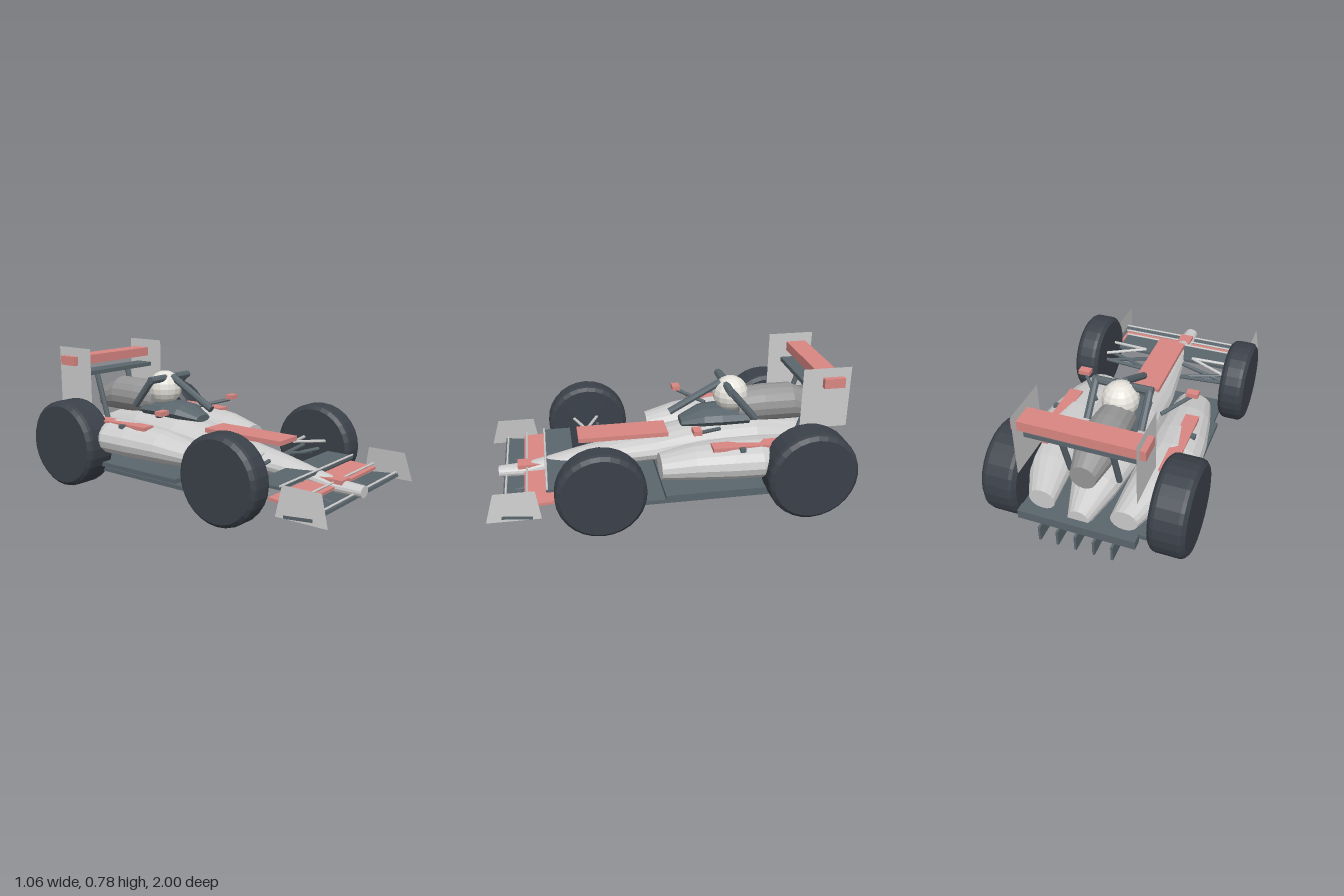
import * as THREE from 'three';

const mat = (color) => new THREE.MeshStandardMaterial({ color, flatShading: true, side: THREE.DoubleSide });

// Closed faceted body through elliptical rings [z, cx, cy, rx, ry], listed front to back
function loft(rings, sides = 16) {
  const pos = [], idx = [];
  rings.forEach(([z, cx, cy, rx, ry]) => {
    for (let j = 0; j < sides; j++) {
      const a = (j / sides) * Math.PI * 2;
      pos.push(cx + Math.cos(a) * rx, cy + Math.sin(a) * ry, z);
    }
  });
  const last = rings.length - 1, front = rings.length * sides, back = front + 1;
  for (const [z, cx, cy] of [rings[0], rings[last]]) pos.push(cx, cy, z);
  for (let j = 0; j < sides; j++) {
    const k = (j + 1) % sides;
    for (let i = 0; i < last; i++) {
      const a = i * sides + j, b = i * sides + k, c = a + sides, d = b + sides;
      idx.push(a, c, b, b, c, d);
    }
    idx.push(front, j, k, back, last * sides + k, last * sides + j);
  }
  const g = new THREE.BufferGeometry();
  g.setAttribute('position', new THREE.Float32BufferAttribute(pos, 3));
  g.setIndex(idx);
  g.computeVertexNormals();
  return g;
}

// Flat quad from four corners
function quad(...corners) {
  const g = new THREE.BufferGeometry();
  g.setAttribute('position', new THREE.Float32BufferAttribute(corners.flat(), 3));
  g.setIndex([0, 1, 2, 0, 2, 3]);
  g.computeVertexNormals();
  return g;
}

export function createModel() {
  const car = new THREE.Group();
  car.name = 'raceCar';
  const paint = mat(0xcccccc), dark = mat(0x5a666d), tyre = mat(0x3b414a);
  const red = mat(0xd98782), coverGrey = mat(0x969696), white = mat(0xe6e3dc);

  const add = (name, geo, material) => {
    const m = new THREE.Mesh(geo, material);
    m.name = name;
    car.add(m);
    return m;
  };
  // Box given by its extents on each axis
  const box = (name, material, [x0, x1], [y0, y1], [z0, z1]) => {
    const m = add(name, new THREE.BoxGeometry(x1 - x0, y1 - y0, z1 - z0), material);
    m.position.set((x0 + x1) / 2, (y0 + y1) / 2, (z0 + z1) / 2);
    return m;
  };
  const rod = (name, material, a, b, r, sides = 8) => {
    const p = new THREE.Vector3(...a), q = new THREE.Vector3(...b), d = q.clone().sub(p);
    const m = add(name, new THREE.CylinderGeometry(r, r, d.length(), sides), material);
    m.position.copy(p).add(q).multiplyScalar(0.5);
    m.quaternion.setFromUnitVectors(new THREE.Vector3(0, 1, 0), d.normalize());
    return m;
  };
  const wheel = (name, x, y, z, r, width) => {
    const h = width / 2, c = 0.035;
    const profile = [[0, -h], [r * 0.9, -h], [r * 0.98, -h + c * 0.5], [r, -h + c],
      [r, h - c], [r * 0.98, h - c * 0.5], [r * 0.9, h], [0, h]];
    const m = add(name, new THREE.LatheGeometry(profile.map((p) => new THREE.Vector2(...p)), 28), tyre);
    m.rotation.z = Math.PI / 2;
    m.position.set(x, y, z);
  };

  // Central body from nose to tail
  add('body', loft([
    [0.945, 0, 0.167, 0.04, 0.031], [0.8, 0, 0.17, 0.05, 0.036], [0.65, 0, 0.195, 0.058, 0.045],
    [0.5, 0, 0.215, 0.08, 0.058], [0.3, 0, 0.24, 0.11, 0.066], [0.08, 0, 0.267, 0.145, 0.075],
    [-0.2, 0, 0.305, 0.165, 0.1], [-0.5, 0, 0.31, 0.165, 0.1], [-0.75, 0, 0.28, 0.12, 0.09],
    [-0.95, 0, 0.24, 0.055, 0.052]]), paint);
  add('engineCover', loft([
    [-0.4, 0, 0.47, 0.095, 0.1], [-0.55, 0, 0.48, 0.107, 0.105],
    [-0.72, 0, 0.48, 0.107, 0.105], [-0.87, 0, 0.44, 0.068, 0.066]]), coverGrey);
  box('nosePanel', red, [-0.082, 0.082], [0.345, 0.37], [0, 0.5]);
  box('noseTipPanel', red, [-0.04, 0.04], [0.19, 0.213], [0.665, 0.84]);

  // Cockpit and driver
  add('cockpitSurround', loft([
    [-0.08, 0, 0.4, 0.06, 0.02], [-0.2, 0, 0.425, 0.115, 0.05],
    [-0.3, 0, 0.43, 0.13, 0.05], [-0.46, 0, 0.425, 0.12, 0.045]], 10), dark);
  add('helmet', new THREE.SphereGeometry(0.1, 14, 10), white).position.set(0, 0.55, -0.37);

  // Head guard
  rod('guardPillar', dark, [0, 0.46, -0.02], [0, 0.62, -0.31], 0.021);
  rod('guardCrossbar', dark, [-0.165, 0.613, -0.335], [0.165, 0.613, -0.335], 0.022);

  // Floor, diffuser and rear beam
  box('floor', dark, [-0.385, 0.385], [0.1, 0.122], [-0.82, 0.34]);
  box('upperFloor', dark, [-0.42, 0.42], [0.14, 0.165], [-0.88, 0.07]);
  box('rearBeam', dark, [-0.305, 0.305], [0.187, 0.235], [-0.99, -0.935]);
  for (let i = -2; i <= 2; i++) {
    const x = i * 0.095;
    box('diffuserFin', dark, [x - 0.006, x + 0.006], [0.08, 0.165], [-1, -0.8]);
  }

  // Rear wing
  box('rearWing', red, [-0.33, 0.33], [0.675, 0.728], [-0.905, -0.79]);
  box('rearWingFlap', dark, [-0.29, 0.29], [0.612, 0.636], [-0.87, -0.755]);

  // Front wing
  box('frontWing', dark, [-0.455, 0.455], [0.127, 0.143], [0.765, 0.92]).rotation.x = -0.1;
  box('frontWingUpper', dark, [-0.365, 0.365], [0.217, 0.232], [0.53, 0.69]);
  for (const [w, y, z] of [[0.45, 0.157, 0.905], [0.41, 0.196, 0.79], [0.365, 0.236, 0.685]]) {
    rod('frontWingTrim', paint, [-w, y, z], [w, y, z], 0.006, 6);
  }

  // Mirrored parts
  for (const s of [-1, 1]) {
    const span = (a, b) => (s > 0 ? [a, b] : [-b, -a]);
    const strut = (name, m, a, b, r) => rod(name, m, [a[0] * s, a[1], a[2]], [b[0] * s, b[1], b[2]], r);

    wheel('frontWheel', s * 0.452, 0.242, 0.415, 0.236, 0.142);
    wheel('rearWheel', s * 0.434, 0.252, -0.705, 0.248, 0.19);

    add('sidePod', loft([
      [0.08, s * 0.275, 0.267, 0.095, 0.066], [-0.1, s * 0.29, 0.287, 0.125, 0.09],
      [-0.3, s * 0.303, 0.297, 0.148, 0.1], [-0.45, s * 0.31, 0.3, 0.153, 0.1],
      [-0.7, s * 0.265, 0.28, 0.115, 0.085], [-0.9, s * 0.215, 0.255, 0.07, 0.058]]), paint);
    box('sidePodPanel', red, span(0.3, 0.375), [0.375, 0.396], [-0.64, -0.19]);
    box('sidePodFin', dark, span(0.37, 0.4), [0.37, 0.395], [-0.36, -0.33]);

    box('mirror', red, span(0.28, 0.345), [0.465, 0.49], [-0.135, -0.09]);
    strut('mirrorStalk', dark, [0.185, 0.42, -0.265], [0.305, 0.462, -0.12], 0.011);
    strut('guardArm', dark, [0.148, 0.618, -0.335], [0.148, 0.455, -0.47], 0.021);

    // Front suspension arms
    strut('upperArm', paint, [0.15, 0.315, 0.44], [0.39, 0.28, 0.5], 0.009);
    strut('upperArm', paint, [0.15, 0.315, 0.44], [0.39, 0.285, 0.36], 0.009);
    strut('lowerArm', dark, [0.09, 0.22, 0.36], [0.39, 0.24, 0.36], 0.011);
    strut('lowerArm', dark, [0.09, 0.22, 0.36], [0.39, 0.23, 0.46], 0.011);
    strut('pushRod', dark, [0.09, 0.26, 0.44], [0.39, 0.2, 0.41], 0.011);

    // Wing end plates, stays and front flaps
    strut('rearWingStay', dark, [0.13, 0.625, -0.82], [0.13, 0.34, -0.73], 0.016);
    add('rearEndPlate', quad([s * 0.3, 0.44, -0.945], [s * 0.3, 0.44, -0.68],
      [s * 0.3, 0.78, -0.68], [s * 0.3, 0.78, -0.945]), paint);
    add('frontEndPlate', quad([s * 0.455, 0.12, 0.72], [s * 0.455, 0.12, 1],
      [s * 0.44, 0.275, 0.955], [s * 0.44, 0.275, 0.745]), paint);
    box('frontFlap', red, span(0.045, 0.41), [0.168, 0.183], [0.65, 0.805]).rotation.x = 0.06;
    strut('frontWingBracket', dark, [0.17, 0.135, 0.86], [0.17, 0.172, 0.7], 0.012);
  }
  return car;
}
